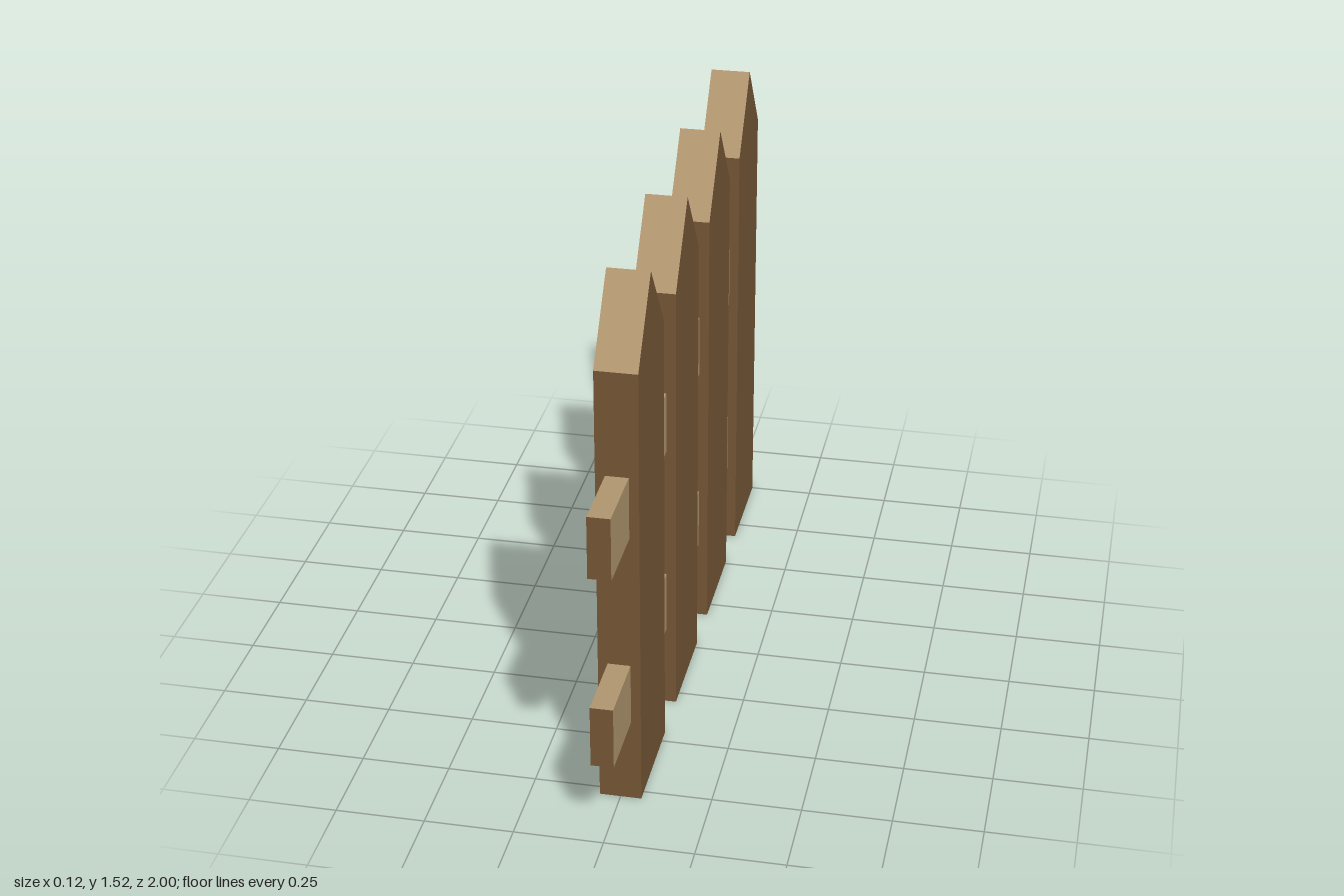
import * as THREE from 'three';

const brown = new THREE.MeshStandardMaterial({ color: 0x765736 });
const tan = new THREE.MeshStandardMaterial({ color: 0xb0966f });

const HALF_WIDTH = 0.1625, THICKNESS = 0.117, SHOULDER = 1.31, PEAK = 1.525;

// Pointed board: profile in the z-y plane, thickness along x
function picketGeometry() {
  const shape = new THREE.Shape([
    [-HALF_WIDTH, 0], [HALF_WIDTH, 0], [HALF_WIDTH, SHOULDER], [0, PEAK], [-HALF_WIDTH, SHOULDER],
  ].map(([x, y]) => new THREE.Vector2(x, y)));
  const geometry = new THREE.ExtrudeGeometry(shape, { depth: THICKNESS, bevelEnabled: false })
    .translate(0, 0, -THICKNESS / 2)
    .rotateY(-Math.PI / 2);

  // Cut ends (slopes and underside) are tan, upright faces are brown
  geometry.clearGroups();
  const normal = geometry.attributes.normal;
  for (let i = 0; i < normal.count; i += 3) {
    geometry.addGroup(i, 3, Math.abs(normal.getY(i)) > 0.1 ? 1 : 0);
  }
  return geometry;
}

export function createModel() {
  const fence = new THREE.Group();
  fence.name = 'picketFence';

  // Four pickets evenly spaced along z
  const board = picketGeometry();
  for (let i = 0; i < 4; i++) {
    const picket = new THREE.Mesh(board, [brown, tan]);
    picket.name = `picket${i + 1}`;
    picket.position.z = -1 + HALF_WIDTH + i * 0.486;
    fence.add(picket);
  }

  // Two rails run through the pickets, ending inside the rearmost one
  const zFront = 1, zBack = -0.84;
  const bar = new THREE.BoxGeometry(0.063, 0.182, zFront - zBack);
  for (const [name, y] of [['lowerRail', 0.34], ['upperRail', 0.917]]) {
    const rail = new THREE.Mesh(bar, [tan, tan, tan, tan, brown, brown]);
    rail.name = name;
    rail.position.set(0, y, (zFront + zBack) / 2);
    fence.add(rail);
  }

  return fence;
}
